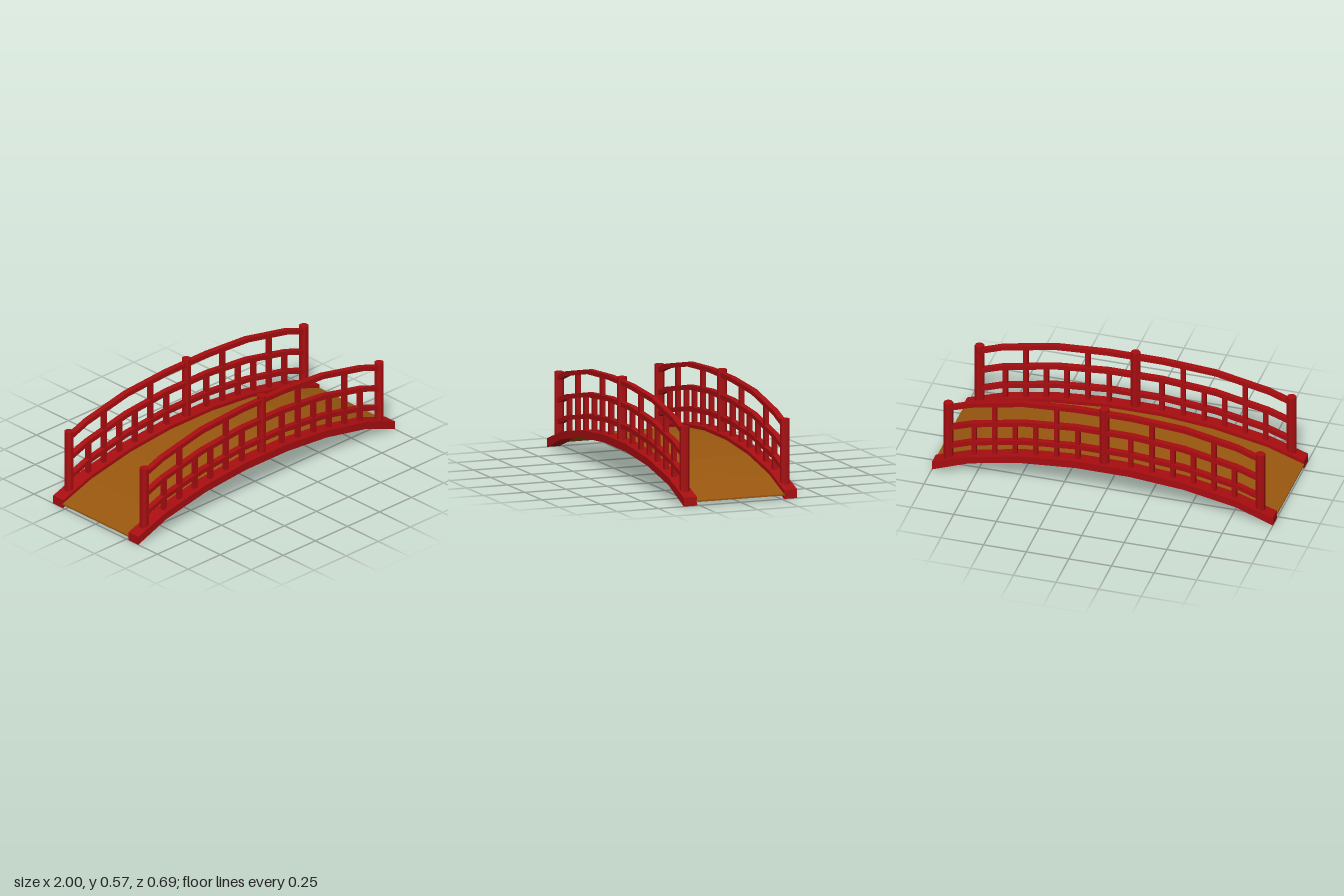
import * as THREE from 'three';

const red = new THREE.MeshStandardMaterial({ color: 0xa80d10 });
red.name = 'red lacquer';
const brown = new THREE.MeshStandardMaterial({ color: 0x99570f });
brown.name = 'brown planks';

// Half profiles [x, y] from the middle outwards; every part bends at the same places
const BEAM_TOP = [[0.16, 0.215], [0.47, 0.188], [0.78, 0.128], [1, 0.052]];
const BEAM_BOTTOM = [[0.16, 0.17], [0.47, 0.144], [0.78, 0.085], [1, 0.002]];
const DECK_TOP = [[0.16, 0.195], [0.47, 0.167], [0.78, 0.107], [1, 0.031]];
const RAILS = {
  lowerRail: [[0.16, 0.294], [0.47, 0.266], [0.78, 0.204], [0.915, 0.156]],
  middleRail: [[0.16, 0.417], [0.47, 0.389], [0.78, 0.325], [0.915, 0.278]],
  topRail: [[0.16, 0.54], [0.47, 0.52], [0.78, 0.457], [0.915, 0.408]],
};
const RAIL_Z = 0.305;

const shift = (profile, dy) => profile.map(([x, y]) => [x, y + dy]);

// Height of a profile at x
function heightAt(profile, x) {
  x = Math.abs(x);
  if (x <= profile[0][0]) return profile[0][1];
  for (let i = 1; i < profile.length; i++) {
    const [x0, y0] = profile[i - 1], [x1, y1] = profile[i];
    if (x <= x1) return y0 + (y1 - y0) * (x - x0) / (x1 - x0);
  }
  return profile[profile.length - 1][1];
}

// Arched band between two mirrored profiles, extruded along z
function band(name, top, bottom, z, width, material) {
  const mirror = (p) => p.map(([x, y]) => [-x, y]).reverse();
  const outline = [...mirror(bottom), ...bottom, ...[...mirror(top), ...top].reverse()];
  const shape = new THREE.Shape(outline.map(([x, y]) => new THREE.Vector2(x, y)));
  const geometry = new THREE.ExtrudeGeometry(shape, { depth: width, bevelEnabled: false });
  geometry.translate(0, 0, z - width / 2);
  const mesh = new THREE.Mesh(geometry, material);
  mesh.name = name;
  return mesh;
}

// Eight-sided post with flat sides facing the axes
function post(name, x, y0, y1, z) {
  const r = 0.0255 / Math.cos(Math.PI / 8);
  const geometry = new THREE.CylinderGeometry(r, r, y1 - y0, 8).rotateY(Math.PI / 8).toNonIndexed();
  geometry.computeVertexNormals();
  const mesh = new THREE.Mesh(geometry, red);
  mesh.name = name;
  mesh.position.set(x, (y0 + y1) / 2, z);
  return mesh;
}

function baluster(name, x, y0, y1, z) {
  const mesh = new THREE.Mesh(new THREE.BoxGeometry(0.026, y1 - y0, 0.026), red);
  mesh.name = name;
  mesh.position.set(x, (y0 + y1) / 2, z);
  return mesh;
}

// Beam, rails, posts and balusters of one side
function railing(name, side) {
  const group = new THREE.Group();
  group.name = name;
  const z = side * RAIL_Z;
  group.add(band('beam', BEAM_TOP, BEAM_BOTTOM, z, 0.08, red));
  for (const [rail, p] of Object.entries(RAILS)) {
    group.add(band(rail, shift(p, 0.0135), shift(p, -0.0135), z, 0.034, red));
  }
  group.add(post('middlePost', 0, 0.18, 0.572, z));
  for (const s of [-1, 1]) {
    group.add(post('endPost', s * 0.915, 0.07, 0.445, z));
    [0.155, 0.28, 0.402, 0.523, 0.643, 0.763].forEach((d, i) => {
      const x = s * d;
      const middle = heightAt(RAILS.middleRail, x);
      group.add(baluster('lowerBaluster', x, heightAt(BEAM_TOP, x) - 0.015, middle, z));
      if (i === 1 || i === 4) {
        group.add(baluster('upperBaluster', x, middle, heightAt(RAILS.topRail, x), z));
      }
    });
  }
  return group;
}

export function createModel() {
  const bridge = new THREE.Group();
  bridge.name = 'archedFootbridge';
  bridge.add(band('deck', DECK_TOP, shift(DECK_TOP, -0.009), 0, 0.54, brown));
  bridge.add(railing('frontRailing', 1), railing('backRailing', -1));
  return bridge;
}
